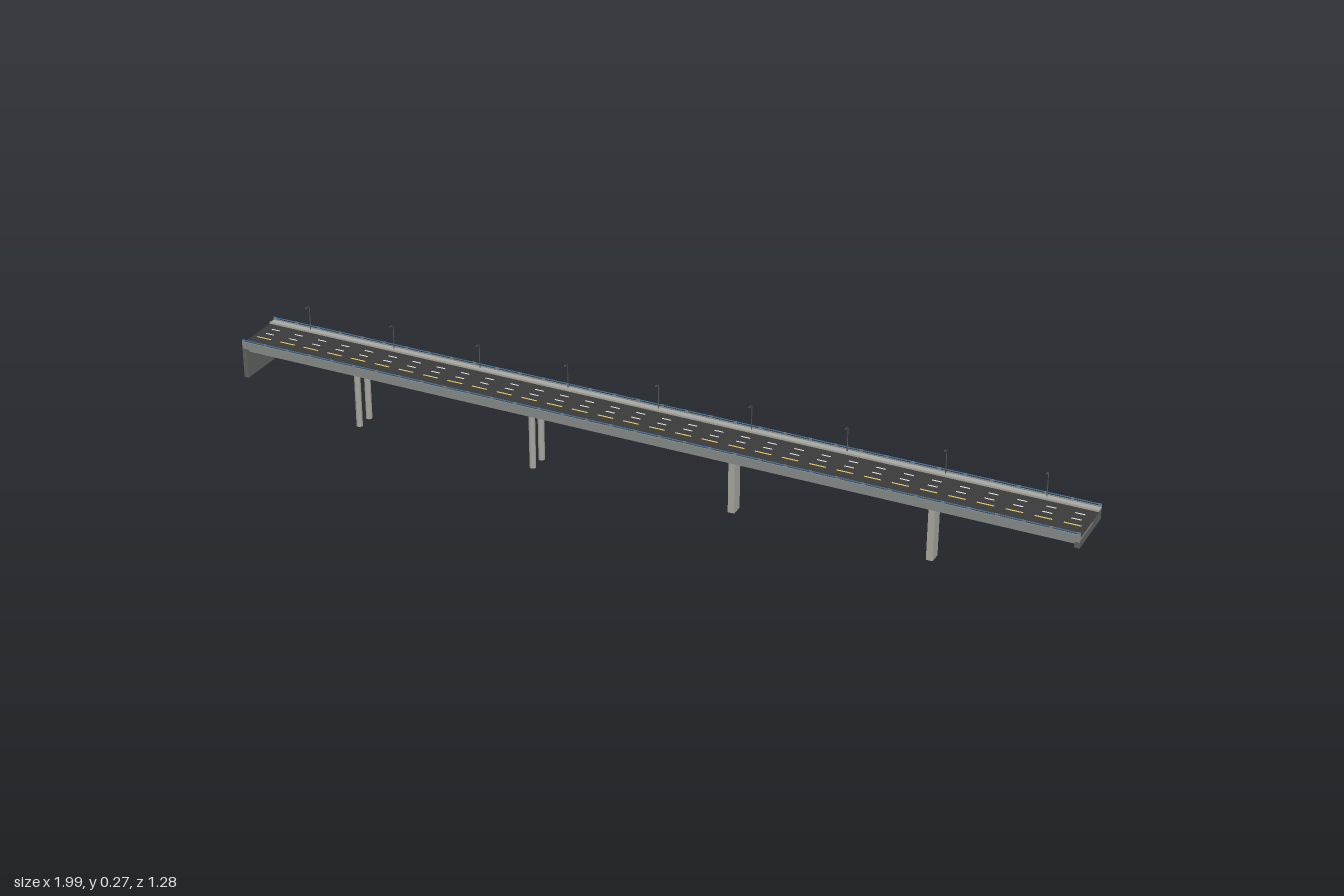
import * as THREE from 'three';

const LEN = 2.235, HALF = 0.0755;

export function createModel() {
  const mat = (name, color) => {
    const m = new THREE.MeshStandardMaterial({ color });
    m.name = name;
    return m;
  };
  const asphalt = mat('asphalt', 0x3a3a3a);
  const concrete = mat('concrete', 0xa4a49c);
  const girderGrey = mat('girder grey', 0x838786);
  const abutmentGrey = mat('abutment grey', 0x5c605e);
  const pavement = mat('pavement', 0xa6a6a2);
  const white = mat('white paint', 0xf4f4f4);
  const yellow = mat('yellow paint', 0xf4d866);
  const railBlue = mat('rail blue', 0x41749f);
  const steel = mat('lamp steel', 0x55595c);

  const root = new THREE.Group();
  root.name = 'roadBridge';
  // local x runs along the bridge, local z across it
  const bridge = new THREE.Group();
  bridge.name = 'bridge';
  bridge.rotation.y = -0.541;
  root.add(bridge);

  const add = (name, geo, material, x = 0, y = 0, z = 0, parent = bridge) => {
    const m = new THREE.Mesh(geo, material);
    m.name = name;
    m.position.set(x, y, z);
    parent.add(m);
    return m;
  };
  // box given by its centre and length along x, bottom, top, and z range
  const slab = (name, material, x, len, y0, y1, z0, z1, parent = bridge) =>
    add(name, new THREE.BoxGeometry(len, y1 - y0, z1 - z0), material, x, (y0 + y1) / 2, (z0 + z1) / 2, parent);

  // deck, road surface, walkway and kerb
  slab('deck', girderGrey, 0, LEN, 0.187, 0.195, -HALF, HALF);
  slab('road', asphalt, 0, LEN, 0.195, 0.197, -0.053, HALF - 0.003);
  slab('walkway', pavement, 0, LEN, 0.195, 0.2, -HALF + 0.003, -0.056);
  slab('kerb', concrete, 0, LEN, 0.195, 0.202, -0.056, -0.053);
  for (const s of [-1, 1]) {
    const z = s * (HALF - 0.0015);
    slab('edgeBeam', girderGrey, 0, LEN, 0.183, 0.202, z - 0.0015, z + 0.0015);
  }

  // longitudinal box girders
  for (let i = 0; i < 5; i++) {
    const z = -0.058 + i * 0.029;
    slab('girder', girderGrey, 0, LEN - 0.02, 0.173, 0.187, z - 0.009, z + 0.009);
  }

  // end walls
  slab('tallAbutment', abutmentGrey, -LEN / 2 + 0.0065, 0.013, 0.102, 0.196, -HALF, HALF);
  slab('lowAbutment', abutmentGrey, LEN / 2 - 0.0065, 0.013, 0.168, 0.196, -HALF, HALF);

  // piers: two with twin round columns, two with a single wall
  const column = new THREE.CylinderGeometry(0.0083, 0.0083, 0.165, 16);
  const piers = [[-0.818, true], [-0.316, true], [0.223, false], [0.736, false]];
  for (const [x, twin] of piers) {
    const pier = new THREE.Group();
    pier.name = 'pier';
    pier.position.set(x, 0, -0.012);
    bridge.add(pier);
    slab('pierCap', concrete, 0, 0.031, 0.164, 0.174, -0.04, 0.04, pier);
    if (twin) for (const s of [-1, 1]) add('column', column, concrete, 0, 0.0825, s * 0.0235, pier);
    else slab('wallColumn', concrete, 0, 0.017, 0, 0.165, -0.016, 0.016, pier);
  }

  // lane markings: yellow centre dashes and two rows of white dashes
  const dashes = 32, step = LEN / dashes;
  const yellowDash = new THREE.BoxGeometry(0.042, 0.0008, 0.0036);
  const whiteDash = new THREE.BoxGeometry(0.024, 0.0008, 0.0032);
  for (let i = 0; i < dashes; i++) {
    const x = -LEN / 2 + (i + 0.5) * step;
    add('centreDash', yellowDash, yellow, x, 0.1974, 0.026);
    for (const z of [-0.027, 0]) add('laneDash', whiteDash, white, x, 0.1974, z);
  }

  // lamps along the walkway, arms reaching over the road
  const lampStep = 0.2487;
  const pole = new THREE.CylinderGeometry(0.0009, 0.0014, 0.064, 6);
  const arm = new THREE.TubeGeometry(new THREE.QuadraticBezierCurve3(
    new THREE.Vector3(0, 0.262, 0), new THREE.Vector3(0, 0.267, 0.003), new THREE.Vector3(0, 0.267, 0.014)), 6, 0.0008, 5);
  const lampHead = new THREE.BoxGeometry(0.003, 0.0015, 0.006);
  for (let i = 0; i < 9; i++) {
    const lamp = new THREE.Group();
    lamp.name = 'streetLamp';
    lamp.position.set(-1.001 + i * lampStep, 0, -0.066);
    bridge.add(lamp);
    add('pole', pole, steel, 0, 0.231, 0, lamp);
    add('arm', arm, steel, 0, 0, 0, lamp);
    add('lampHead', lampHead, steel, 0, 0.2665, 0.014, lamp);
  }

  // railings: posts and a blue top rail along both edges
  const posts = 34;
  const post = new THREE.BoxGeometry(0.008, 0.0065, 0.002);
  for (const s of [-1, 1]) {
    const z = s * (HALF - 0.0015);
    slab('handrail', railBlue, 0, LEN, 0.2055, 0.2072, z - 0.0013, z + 0.0013);
    for (let i = 0; i <= posts; i++)
      add('railPost', post, girderGrey, -LEN / 2 + 0.004 + i * (LEN - 0.008) / posts, 0.2045, z);
  }
  return root;
}
